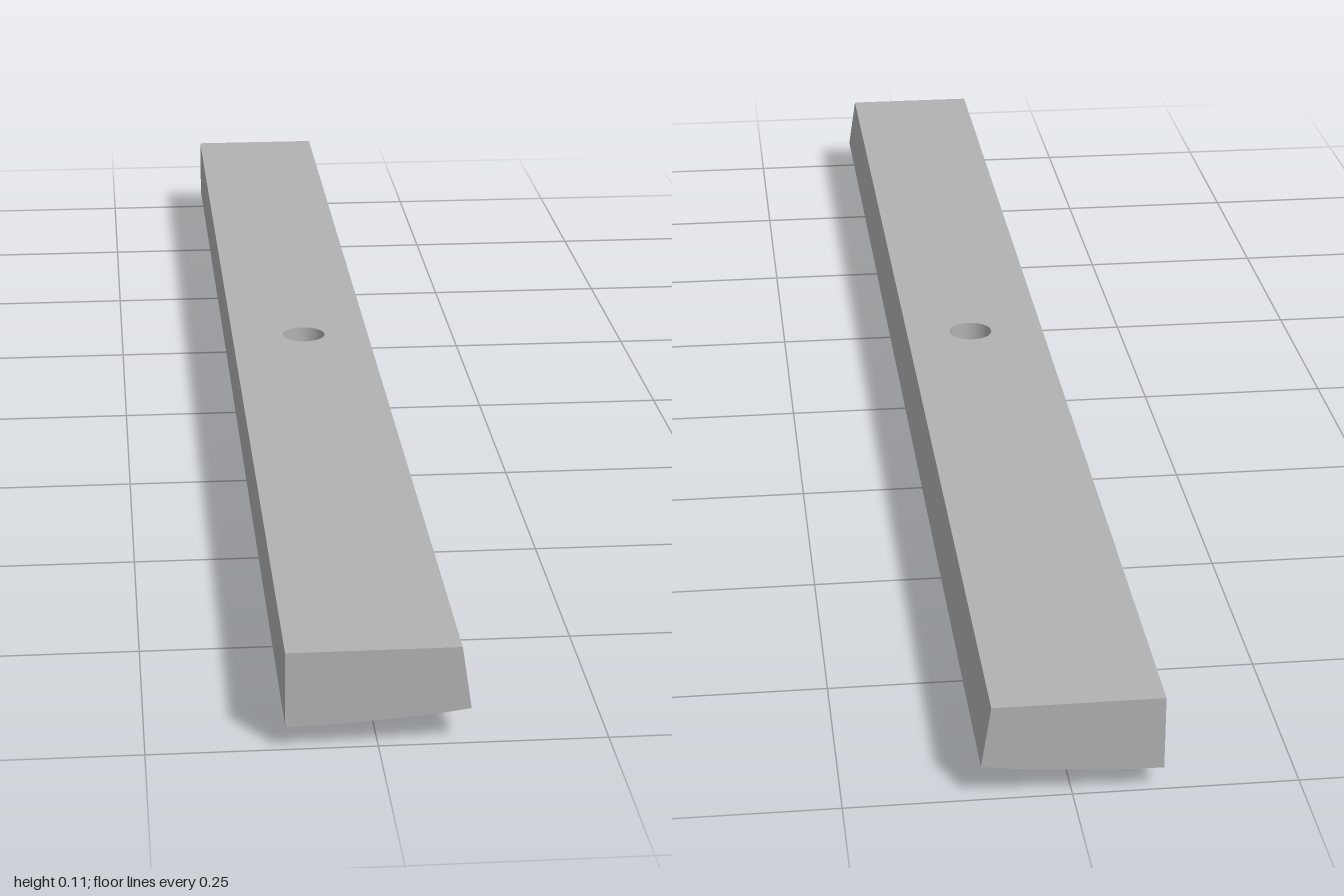
import * as THREE from 'three';

const TOP = 0.115, HALF = 0.1, TOP_RIGHT = 0.089, HOLE_R = 0.029;

// Height of the gently curved underside at a given x
const under = (x) => 0.028 + 0.0143 * ((x + HALF) / (2 * HALF)) ** 2;

// Lift every vertex by a rule depending on x and y
function warp(geo, rule) {
  const p = geo.attributes.position;
  for (let i = 0; i < p.count; i++) p.setY(i, rule(p.getX(i), p.getY(i)));
  geo.computeVertexNormals();
  return geo;
}

function rect(x0, x1, y0, y1) {
  return new THREE.Shape([[x0, y0], [x1, y0], [x1, y1], [x0, y1]].map(([x, y]) => new THREE.Vector2(x, y)));
}

function drill(shape) {
  shape.holes.push(new THREE.Path().absarc(0, 0, HOLE_R, 0, Math.PI * 2, true));
  return shape;
}

// Half ring in plan, opening away from the given direction (+1 or -1 along x)
function halfRing(x, z, r, w, dir) {
  const a = dir > 0 ? -Math.PI / 2 : Math.PI / 2;
  const s = new THREE.Shape();
  s.absarc(x, -z, r, a, a + Math.PI, false);
  s.absarc(x, -z, r - w, a + Math.PI, a, true);
  return s;
}

export function createModel() {
  const model = new THREE.Group();
  const grey = new THREE.MeshStandardMaterial({ color: 0xb2b2b2 });
  const add = (name, geo, parent = model) => {
    const mesh = new THREE.Mesh(geo, grey);
    mesh.name = name;
    parent.add(mesh);
    return mesh;
  };

  // Bar: flat top, curved underside, slanted left face, drilled through the middle
  const bar = new THREE.Group();
  bar.name = 'bar';
  model.add(bar);

  const top = new THREE.ShapeGeometry(drill(rect(-HALF, TOP_RIGHT, -1, 1)), 32);
  add('topFace', top.rotateX(-Math.PI / 2).translate(0, TOP, 0), bar);

  const cuts = [-0.1, -0.075, -0.05, 0.05, 0.075, 0.1];
  for (let i = 0; i < cuts.length - 1; i++) {
    const strip = rect(cuts[i], cuts[i + 1], -1, 1);
    if (i === 2) drill(strip);
    const geo = new THREE.ShapeGeometry(strip, 32).rotateX(Math.PI / 2);
    add('underside', warp(geo, (x) => under(x)), bar);
  }

  const profile = new THREE.Shape();
  profile.moveTo(-HALF, TOP);
  cuts.forEach((x) => profile.lineTo(x, under(x)));
  profile.lineTo(TOP_RIGHT, TOP);
  add('frontEnd', new THREE.ShapeGeometry(profile).translate(0, 0, 1), bar);
  const mirrored = new THREE.Shape(profile.getPoints().map((p) => new THREE.Vector2(-p.x, p.y)));
  add('backEnd', new THREE.ShapeGeometry(mirrored).rotateY(Math.PI).translate(0, 0, -1), bar);

  // Long side faces, each leaning between a bottom x and a top x
  for (const [name, side, xb, xt] of [['leftSide', 1, HALF, TOP_RIGHT], ['rightSide', -1, -HALF, -HALF]]) {
    const geo = new THREE.PlaneGeometry(2, 1).rotateY(side * Math.PI / 2);
    const p = geo.attributes.position;
    for (let i = 0; i < p.count; i++) {
      const up = p.getY(i) > 0;
      p.setX(i, up ? xt : xb);
      p.setY(i, up ? TOP : under(xb));
    }
    geo.computeVertexNormals();
    add(name, geo, bar);
  }

  // Hole wall, turned inside out
  const wall = new THREE.CylinderGeometry(HOLE_R, HOLE_R, 1, 32, 1, true).scale(-1, 1, 1);
  add('holeWall', warp(wall, (x, y) => (y > 0 ? TOP : under(x))), bar);

  // Raised ribs and hooks below the bar, following its curve
  const rib = (name, shape) => {
    const geo = new THREE.ExtrudeGeometry(shape, { depth: 0.03, bevelEnabled: false, curveSegments: 16 });
    geo.rotateX(-Math.PI / 2);
    const p = geo.attributes.position;
    for (let i = 0; i < p.count; i++) p.setY(i, p.getY(i) + under(p.getX(i)) - 0.027);
    add(name, geo);
  };
  const straight = (name, x0, x1, z, w = 0.01) => rib(name, rect(x0, x1, -z - w / 2, -z + w / 2));

  for (const z of [0.56, -0.44]) straight('crossRib', -0.035, 0.035, z);
  for (const z of [0.38, -0.62]) {
    rib('cupRib', halfRing(0.004, z, 0.046, 0.012, -1));
    straight('longRib', -0.093, 0.016, z - 0.044, 0.012);
  }
  rib('archRib', halfRing(-0.08, -0.137, 0.048, 0.012, 1));
  straight('archFoot', -0.093, -0.078, -0.095, 0.012);

  for (const [x, z] of [[0, 0.18], [0.013, -0.82], [-0.017, -0.82]]) straight('stub', x - 0.006, x + 0.006, z, 0.012);

  return model;
}
